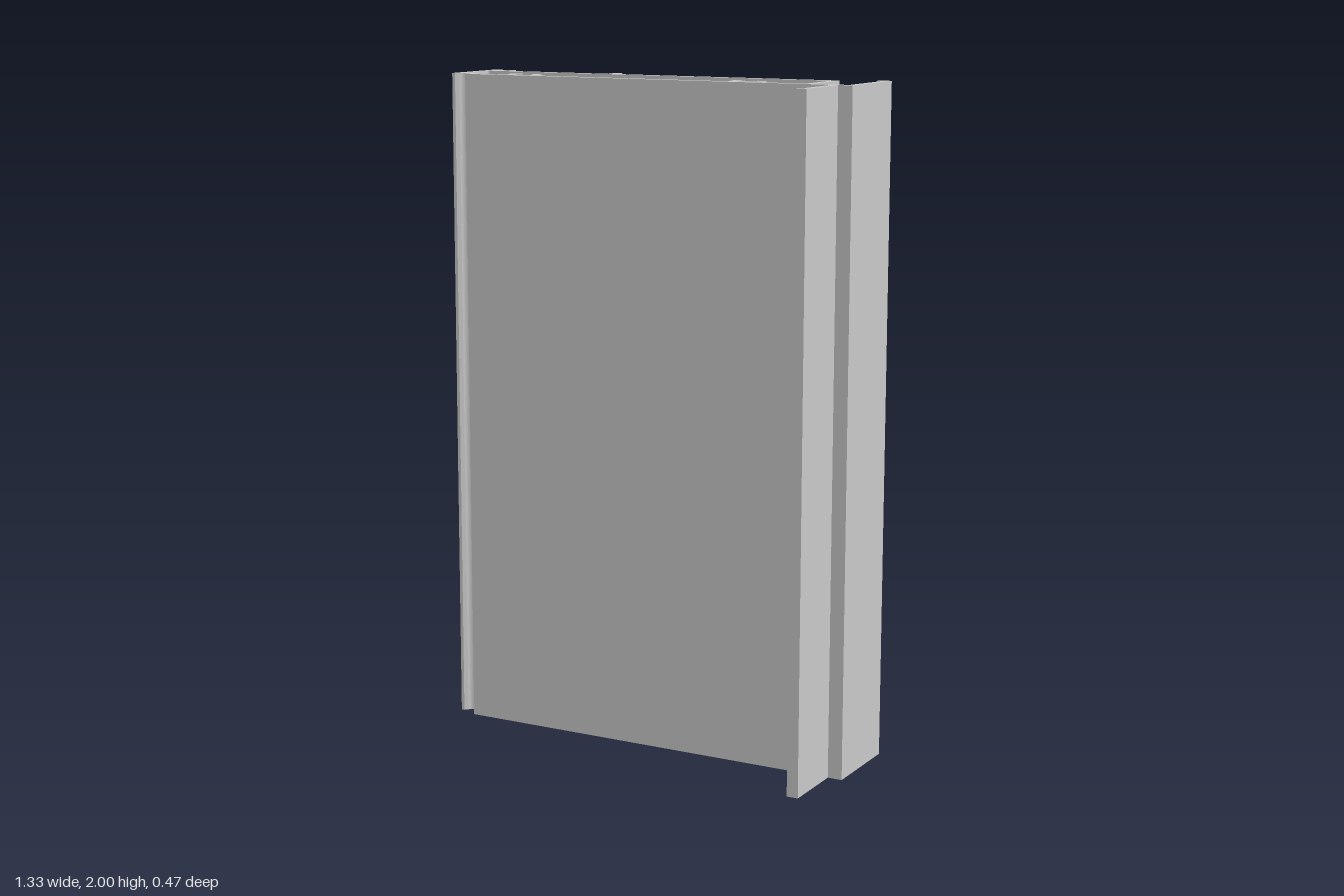
import * as THREE from 'three';

const HEIGHT = 2;

// Draws plan points [x, z]; [cx, cz, x, z] is a rounded corner ending at x, z.
function trace(path, points) {
  points.forEach((p, i) => {
    if (i === 0) path.moveTo(p[0], -p[1]);
    else if (p.length === 4) path.quadraticCurveTo(p[0], -p[1], p[2], -p[3]);
    else path.lineTo(p[0], -p[1]);
  });
  path.closePath();
  return path;
}

// Screw channel, as a half section mirrored about its own centre.
function screwChannel(cx) {
  const half = [
    [-0.046, 0.011],
    [-0.04, -0.006, -0.047, -0.016],
    [-0.053, -0.024, -0.053, -0.036],
    [-0.053, -0.055, -0.036, -0.055],
    [-0.024, -0.055],
    [-0.016, -0.053, -0.02, -0.046],
    [-0.031, -0.037],
    [-0.037, -0.024, -0.032, -0.014],
    [-0.022, -0.002],
    [-0.01, 0.005, 0, 0.006],
  ];
  const left = half.map((p) => p.map((v, i) => (i % 2 ? v : cx + v)));
  const right = [];
  for (let i = half.length - 1; i > 0; i--) {
    const [x, z] = half[i - 1].slice(-2);
    const control = half[i].length === 4 ? [cx - half[i][0], half[i][1]] : [];
    right.push([...control, cx - x, z]);
  }
  return [...left, ...right];
}

export function createModel() {
  const model = new THREE.Group();
  model.name = 'extrudedProfile';
  const aluminium = new THREE.MeshStandardMaterial({ color: 0xc8c8c8 });
  aluminium.name = 'aluminium grey';

  // Extrudes a plan section upwards from the ground.
  function addProfile(name, outline, cavity) {
    const shape = trace(new THREE.Shape(), outline);
    if (cavity) shape.holes.push(trace(new THREE.Path(), cavity));
    const geometry = new THREE.ExtrudeGeometry(shape, {
      depth: HEIGHT, bevelEnabled: false, curveSegments: 8,
    });
    geometry.rotateX(-Math.PI / 2);
    const mesh = new THREE.Mesh(geometry, aluminium);
    mesh.name = name;
    model.add(mesh);
  }

  // Hollow body with a curved front-left groove and two inner screw channels;
  // the cavity runs the opposite way round to the outline.
  addProfile('hollowBody', [
    [-0.665, 0.011],
    [-0.665, -0.178],
    [0.52, -0.178],
    [0.532, -0.178, 0.532, -0.166],
    [0.532, 0.033],
    [-0.604, 0.033],
    [-0.604, 0.012],
    [-0.61, -0.012, -0.628, -0.012],
    [-0.642, -0.01, -0.646, 0.001],
    [-0.655, 0.011],
  ], [
    [-0.645, -0.15],
    [-0.645, -0.031],
    [-0.622, -0.031],
    [-0.59, -0.029, -0.582, 0.011],
    ...screwChannel(-0.435),
    ...screwChannel(0.31),
    [0.511, 0.011],
    [0.511, -0.151],
    [0.511, -0.158, 0.504, -0.158],
    [-0.637, -0.158],
    [-0.645, -0.158, -0.645, -0.15],
  ]);

  // Hooked lip at the back corner
  addProfile('cornerHook', [
    [-0.665, -0.178], [-0.665, -0.229], [-0.654, -0.235], [-0.648, -0.225],
    [-0.587, -0.225], [-0.587, -0.208], [-0.619, -0.208], [-0.619, -0.178],
  ]);

  // Small hook standing off the back panel
  addProfile('backHook', [
    [-0.218, -0.178], [-0.218, -0.208], [-0.243, -0.208], [-0.25, -0.215], [-0.25, -0.225],
    [-0.222, -0.225], [-0.202, -0.225, -0.202, -0.205], [-0.202, -0.178],
  ]);

  // Side flange reaching backwards, with an inward lip
  addProfile('sideFlange', [
    [0.532, 0.011], [0.636, 0.011], [0.645, 0.011, 0.645, 0.002], [0.645, -0.217],
    [0.628, -0.217], [0.628, -0.235], [0.665, -0.235], [0.665, 0.033], [0.532, 0.033],
  ]);

  // Fin reaching forwards, with an inward lip
  addProfile('frontFin', [
    [0.6, 0.033], [0.6, 0.218], [0.586, 0.218], [0.586, 0.235],
    [0.621, 0.235], [0.621, 0.033],
  ]);

  return model;
}
